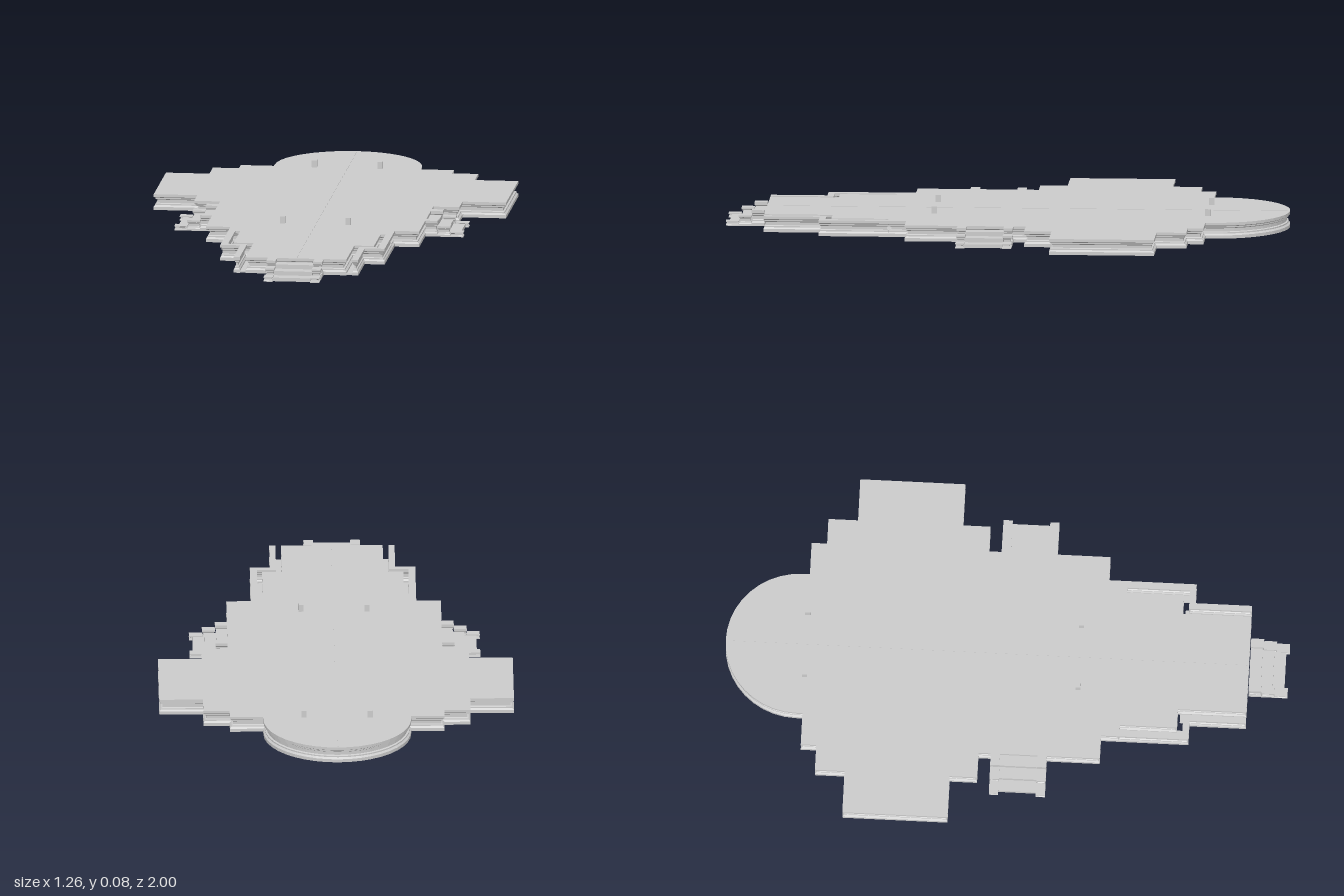
import * as THREE from 'three';

const HEIGHT = 0.057;
// Moulding section: [inset, height fraction]
const MOULDING = [
  [0, 0], [0, 0.2], [0.5, 0.3], [0.5, 0.38], [1, 0.42],
  [1, 0.62], [0.5, 0.68], [0.5, 0.76], [0, 0.82], [0, 1],
];

const material = new THREE.MeshStandardMaterial({ color: 0xcccccc, flatShading: true });

function addMesh(parent, name, geometry, x = 0, y = 0, z = 0) {
  const mesh = new THREE.Mesh(geometry, material);
  mesh.name = name;
  mesh.position.set(x, y, z);
  parent.add(mesh);
  return mesh;
}

// Shift every outline corner inward by d, keeping edges parallel
function inset(outline, d) {
  const n = outline.length;
  const normal = (a, b) => new THREE.Vector2(b.y - a.y, a.x - b.x).normalize();
  return outline.map((p, i) => {
    const n1 = normal(outline[(i + n - 1) % n], p);
    const n2 = normal(p, outline[(i + 1) % n]);
    const k = d / (1 + n1.dot(n2));
    return new THREE.Vector2(p.x - (n1.x + n2.x) * k, p.y - (n1.y + n2.y) * k);
  });
}

// Closed solid: moulding section swept round an (x, z) outline
function mouldedSolid(outline, height, depth) {
  const n = outline.length;
  const positions = [];
  const index = [];
  for (const [d, h] of MOULDING) {
    for (const p of inset(outline, d * depth)) positions.push(p.x, h * height, p.y);
  }
  const top = (MOULDING.length - 1) * n;
  for (let r = 0; r < MOULDING.length - 1; r++) {
    for (let i = 0; i < n; i++) {
      const a = r * n + i, b = r * n + (i + 1) % n;
      index.push(a, a + n, b, b, a + n, b + n);
    }
  }
  for (const [a, b, c] of THREE.ShapeUtils.triangulateShape(outline, [])) {
    index.push(a, b, c, top + a, top + c, top + b);
  }
  const geometry = new THREE.BufferGeometry();
  geometry.setAttribute('position', new THREE.Float32BufferAttribute(positions, 3));
  geometry.setIndex(index);
  const flat = geometry.toNonIndexed();
  flat.computeVertexNormals();
  return flat;
}

const points = (list) => list.map(([x, z]) => new THREE.Vector2(x, z));
const mirrored = (list) => list.map((p) => new THREE.Vector2(-p.x, p.y)).reverse();
const rectangle = (x0, x1, z0, z1) => points([[x0, z0], [x1, z0], [x1, z1], [x0, z1]]);

// Short stair running towards +z, flanked by stepped moulded cheek walls
function createStair(name) {
  const stair = new THREE.Group();
  stair.name = name;
  const cheekHeights = [HEIGHT, 0.038, 0.017];
  for (let i = 0; i < 3; i++) {
    const z0 = i * 0.046;
    for (const side of [-1, 1]) {
      const x = side * 0.083;
      const block = rectangle(x - 0.0165, x + 0.0165, z0, z0 + 0.046);
      addMesh(stair, 'cheekBlock', mouldedSolid(block, cheekHeights[i], 0.005));
    }
    const h = 0.043 - i * 0.015;
    addMesh(stair, 'step', new THREE.BoxGeometry(0.136, h, 0.042), 0, h / 2, 0.021 + i * 0.042);
  }
  return stair;
}

export function createModel() {
  const model = new THREE.Group();
  model.name = 'steppedPlatform';

  // Main platform: rounded back end, stepped sides, narrow front
  const half = [];
  for (let i = 0; i <= 10; i++) {
    const a = (i / 10) * Math.PI / 2;
    half.push([0.262 * Math.sin(a), -0.738 - 0.262 * Math.cos(a)]);
  }
  half.push(
    [0.262, -0.715], [0.38, -0.715], [0.38, -0.66], [0.473, -0.66], [0.473, -0.555],
    [0.628, -0.555], [0.628, -0.182], [0.473, -0.182], [0.473, -0.085], [0.38, -0.085],
    [0.38, 0.345], [0.293, 0.345], [0.293, 0.41], [0.25, 0.41], [0.25, 0.612],
    [0.18, 0.612], [0.18, 0.855],
  );
  const right = points(half);
  const outline = [...right, ...mirrored(right.slice(1))];
  addMesh(model, 'platform', mouldedSolid(outline, HEIGHT, 0.012));

  // Front curbs stand beyond a narrow channel
  const curb = points([
    [0.268, 0.405], [0.293, 0.405], [0.293, 0.655], [0.222, 0.655],
    [0.222, 0.855], [0.2, 0.855], [0.2, 0.632], [0.268, 0.632],
  ]);
  for (const side of [1, -1]) {
    const shape = side > 0 ? curb : mirrored(curb);
    addMesh(model, 'frontCurb', mouldedSolid(shape, HEIGHT, 0.008));
    addMesh(model, 'channelFloor', new THREE.BoxGeometry(0.04, 0.005, 0.24), side * 0.262, 0.003, 0.52);
    addMesh(model, 'channelFloor', new THREE.BoxGeometry(0.04, 0.005, 0.23), side * 0.192, 0.003, 0.735);
  }

  // Centre seam along the deck
  addMesh(model, 'centreSeam', new THREE.BoxGeometry(0.005, 0.002, 1.84), 0, HEIGHT, -0.07);

  // Four small posts
  for (const x of [-0.117, 0.117]) {
    for (const z of [-0.715, 0.255]) {
      addMesh(model, 'post', new THREE.BoxGeometry(0.018, 0.026, 0.018), x, HEIGHT + 0.012, z);
    }
  }

  // Front and side stairs
  const front = createStair('frontStair');
  front.position.z = 0.858;
  model.add(front);
  for (const side of [1, -1]) {
    const stair = createStair(side > 0 ? 'leftStair' : 'rightStair');
    stair.rotation.y = side * Math.PI / 2;
    stair.position.set(side * 0.377, 0, 0.058);
    model.add(stair);
  }
  return model;
}
